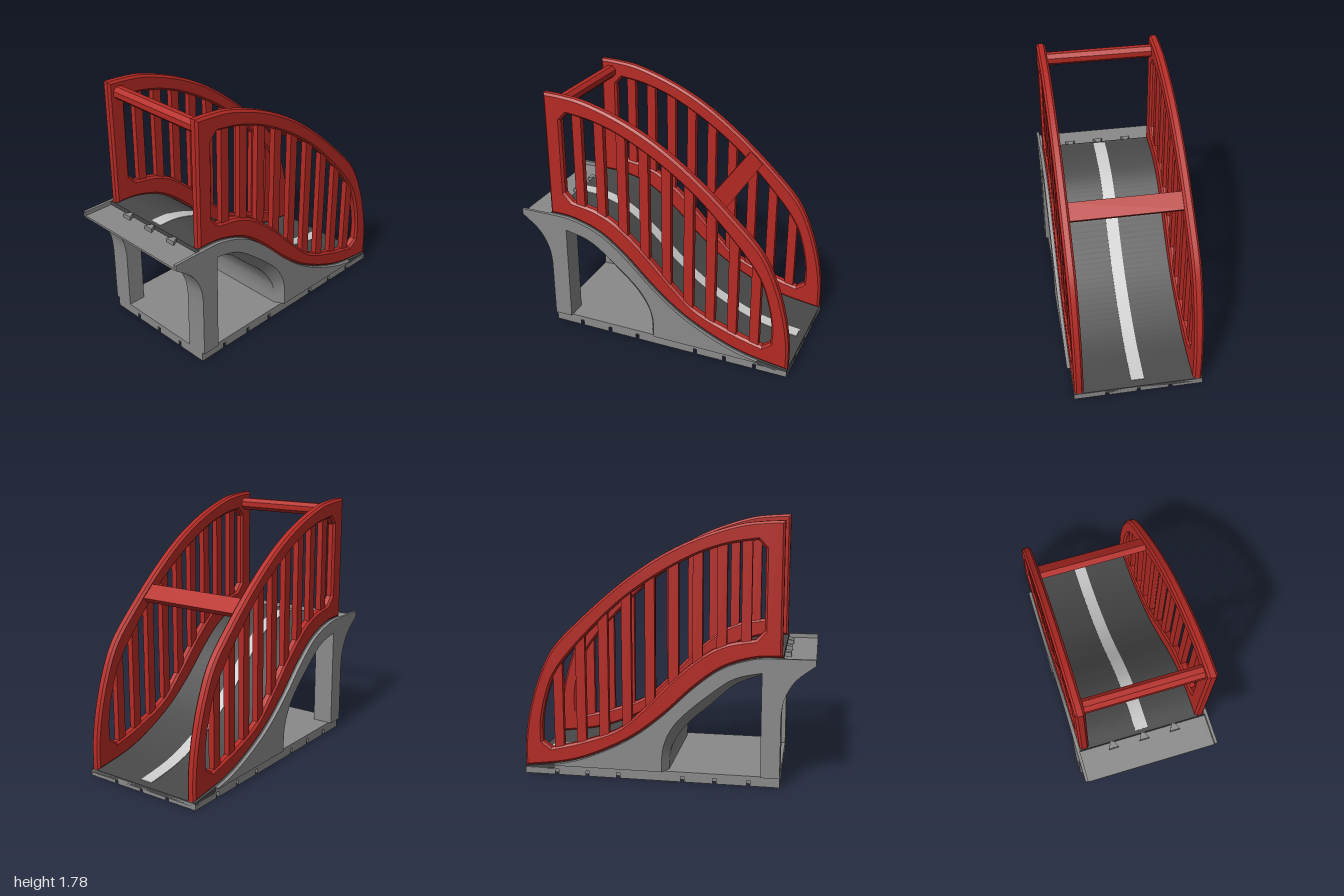
import * as THREE from 'three';
import { toCreasedNormals } from 'three/addons/utils/BufferGeometryUtils.js';

const paint = (color) => new THREE.MeshStandardMaterial({ color });
const red = paint(0xb52a24), grey = paint(0x8a8a8a), dark = paint(0x484848), pale = paint(0xcccccc);
grey.side = THREE.DoubleSide;

const spline = (pts, n = 40) =>
  new THREE.SplineCurve(pts.map(([x, y]) => new THREE.Vector2(x, y))).getPoints(n).map((p) => [p.x, p.y]);

// Height of a curve at x
function heightAt(pts, x) {
  for (let i = 1; i < pts.length; i++) {
    const [x0, y0] = pts[i - 1], [x1, y1] = pts[i];
    if (x <= x1 && x1 > x0) return y0 + (y1 - y0) * (x - x0) / (x1 - x0);
  }
  return pts[pts.length - 1][1];
}

const shapeOf = (pts) => new THREE.Shape(pts.map(([x, y]) => new THREE.Vector2(x, y)));

// Extrude an x-y outline between two z values
function slab(name, pts, z0, z1, material) {
  const geo = new THREE.ExtrudeGeometry(shapeOf(pts), { depth: z1 - z0, bevelEnabled: false });
  geo.translate(0, 0, z0);
  const mesh = new THREE.Mesh(toCreasedNormals(geo, 0.5), material);
  mesh.name = name;
  return mesh;
}

// Extrude an x-z outline between two heights
function plate(name, pts, y0, y1, material) {
  const geo = new THREE.ExtrudeGeometry(shapeOf(pts), { depth: y1 - y0, bevelEnabled: false });
  geo.rotateX(Math.PI / 2).translate(0, y1, 0);
  const mesh = new THREE.Mesh(geo, material);
  mesh.name = name;
  return mesh;
}

function box(name, w, h, d, x, y, z, material) {
  const mesh = new THREE.Mesh(new THREE.BoxGeometry(w, h, d), material);
  mesh.name = name;
  mesh.position.set(x, y, z);
  return mesh;
}

// Main curves
const road = spline([[-0.78, 0.89], [-0.6, 0.88], [-0.39, 0.81], [-0.2, 0.67], [0.01, 0.47], [0.22, 0.305],
  [0.465, 0.175], [0.7, 0.095], [1, 0.05]], 56);
const archOuter = spline([[-0.65, 0.79], [-0.47, 0.745], [-0.31, 0.635], [-0.12, 0.47], [-0.03, 0.35],
  [0.015, 0.22], [0.02, 0.07]], 32);
const archInner = spline([[-0.65, 0.765], [-0.47, 0.69], [-0.31, 0.55], [-0.15, 0.405], [-0.055, 0.27],
  [-0.025, 0.17], [-0.02, 0.07]], 32);
const bracket = spline([[-0.78, 0.5], [-0.8, 0.62], [-0.87, 0.745], [-1, 0.85]], 16);
const railTop = spline([[-0.78, 1.78], [-0.65, 1.775], [-0.47, 1.75], [-0.2, 1.66], [0.065, 1.525], [0.33, 1.335],
  [0.6, 1.095], [0.785, 0.9], [0.89, 0.69], [0.96, 0.46], [0.995, 0.245], [1, 0.05]], 60);
const holeTop = spline([[-0.61, 1.655], [-0.42, 1.625], [-0.2, 1.55], [0.065, 1.405], [0.33, 1.21], [0.6, 0.94],
  [0.76, 0.74], [0.83, 0.57], [0.87, 0.38], [0.87, 0.235]], 50);
const holeBottom = spline([[-0.605, 1.005], [-0.42, 0.97], [-0.26, 0.89], [-0.07, 0.73], [0.145, 0.51],
  [0.33, 0.35], [0.6, 0.245], [0.81, 0.19]], 40);

const roadPart = (x0, x1, offset) => [x0, ...road.map((p) => p[0]).filter((x) => x > x0 && x < x1), x1]
  .map((x) => [x, heightAt(road, x) + offset]);
const roadBand = (x0, x1, top, bottom) => [...roadPart(x0, x1, bottom), ...roadPart(x0, x1, top).reverse()];

// Side wall with post, bracket and arch opening
const wallOutline = (drop) => [[-0.78, 0.07], ...bracket, [-1, 0.89 - drop],
  ...roadPart(-0.78, 0.79, -drop), [0.78, 0.07 - drop], ...archOuter.slice().reverse(), [-0.65, 0.07]];

// Sloping trim between the outer and inner arch
function archTrim(zOut, zIn) {
  const pos = [], index = [];
  archOuter.forEach((p, i) => {
    pos.push(...p, zOut, ...archInner[i], zIn);
    if (i) index.push(2 * i - 2, 2 * i - 1, 2 * i, 2 * i, 2 * i - 1, 2 * i + 1);
  });
  const geo = new THREE.BufferGeometry();
  geo.setAttribute('position', new THREE.Float32BufferAttribute(pos, 3));
  geo.setIndex(index);
  geo.computeVertexNormals();
  const mesh = new THREE.Mesh(geo, grey);
  mesh.name = 'archTrim';
  return mesh;
}

// Rectangle in plan with dovetail notches along all four edges
function notchedOutline() {
  const lengthwise = [-0.57, -0.34, -0.12, 0.33, 0.55, 0.77], across = [-0.22, 0, 0.22];
  const notch = [[-0.012, 0], [-0.035, 0.045], [0.035, 0.045], [0.012, 0]];
  const pts = [[-0.78, -0.45]];
  lengthwise.forEach((c) => notch.forEach(([a, d]) => pts.push([c + a, -0.45 + d])));
  pts.push([1, -0.45]);
  across.forEach((c) => notch.forEach(([a, d]) => pts.push([1 - d, c + a])));
  pts.push([1, 0.45]);
  lengthwise.slice().reverse().forEach((c) => notch.forEach(([a, d]) => pts.push([c - a, 0.45 - d])));
  pts.push([-0.78, 0.45]);
  across.slice().reverse().forEach((c) => notch.forEach(([a, d]) => pts.push([-0.78 + d, c - a])));
  return pts;
}

function railing(z) {
  const group = new THREE.Group();
  group.name = 'railing';
  const bevel = 0.015, depth = 0.065;
  const shape = shapeOf([...road, ...railTop.slice(0, -1).reverse()]);
  const hole = [[-0.66, 1.065], [-0.66, 1.6], ...holeTop, ...holeBottom.slice().reverse()];
  shape.holes.push(new THREE.Path(hole.map(([x, y]) => new THREE.Vector2(x, y))));
  const geo = new THREE.ExtrudeGeometry(shape, {
    depth: depth - 2 * bevel, bevelEnabled: true, bevelSize: bevel, bevelThickness: bevel,
    bevelOffset: -bevel, bevelSegments: 1,
  });
  geo.translate(0, 0, bevel - depth / 2);
  const frame = new THREE.Mesh(toCreasedNormals(geo, 0.5), red);
  frame.name = 'railFrame';
  group.add(frame);
  // Upright bars
  for (let i = 0; i < 9; i++) {
    const x = -0.54 + 0.1615 * i;
    const low = heightAt(holeBottom, x) - 0.04, high = heightAt(holeTop, x) + 0.04;
    group.add(box('baluster', 0.066, high - low, 0.042, x, (low + high) / 2, 0, red));
  }
  group.position.z = z;
  return group;
}

export function createModel() {
  const model = new THREE.Group();
  model.name = 'rampBridge';

  // Base
  model.add(plate('basePlate', notchedOutline(), 0, 0.04, grey));
  model.add(box('baseFloor', 1.57, 0.032, 0.9, 0.005, 0.055, 0, grey));

  // Ramp body with deck and tunnel ceiling
  const body = [[-1, 0.86], [-1, 0.845], [-0.87, 0.8], ...archInner, [-0.02, 0.04], [1, 0.04],
    ...roadPart(-0.78, 0.98, -0.03).filter((p) => p[1] > 0.042).reverse()];
  model.add(slab('rampBody', body, -0.4, 0.4, grey));
  const deck = [[-1, 0.845], [-0.78, 0.845], [-0.78, 0.86], [-1, 0.86]];
  model.add(slab('deckEdge', deck, -0.45, 0.45, grey));

  // Road surface, centre stripe and joining teeth
  model.add(slab('roadSurface', roadBand(-0.785, 1, 0, -0.03), -0.45, 0.45, dark));
  model.add(slab('centreStripe', roadBand(-0.76, 0.95, 0.004, -0.01), -0.045, 0.045, pale));
  for (const z of [-0.22, 0, 0.22]) {
    const tooth = [[-0.83, z - 0.035], [-0.78, z - 0.01], [-0.78, z + 0.01], [-0.83, z + 0.035]];
    model.add(plate('joiningTooth', tooth, 0.855, 0.888, grey));
  }

  // Side walls, posts and railings
  const post = [[-0.78, 0.07], ...bracket, [-0.65, 0.85], [-0.65, 0.07]];
  for (const s of [1, -1]) {
    const span = (a, b) => (s > 0 ? [a, b] : [-b, -a]);
    model.add(slab('sidePanel', wallOutline(0), ...span(0.45, 0.47), grey));
    model.add(slab('innerWall', wallOutline(0.03), ...span(0.4, 0.45), grey));
    model.add(slab('post', post, ...span(0.32, 0.4), grey));
    model.add(archTrim(s * 0.47, s * 0.4));
    model.add(railing(s * 0.4125));
  }

  // Overhead crossbars
  const rear = new THREE.Mesh(new THREE.CylinderGeometry(0.047, 0.047, 0.8, 8).toNonIndexed(), red);
  rear.geometry.rotateY(Math.PI / 8).rotateX(Math.PI / 2).computeVertexNormals();
  rear.name = 'rearCrossbar';
  rear.position.set(-0.703, 1.695, 0);
  model.add(rear);
  const front = box('frontCrossbar', 0.125, 0.045, 0.8, 0.445, 1.18, 0, red);
  front.rotation.z = -0.73;
  model.add(front);

  return model;
}
